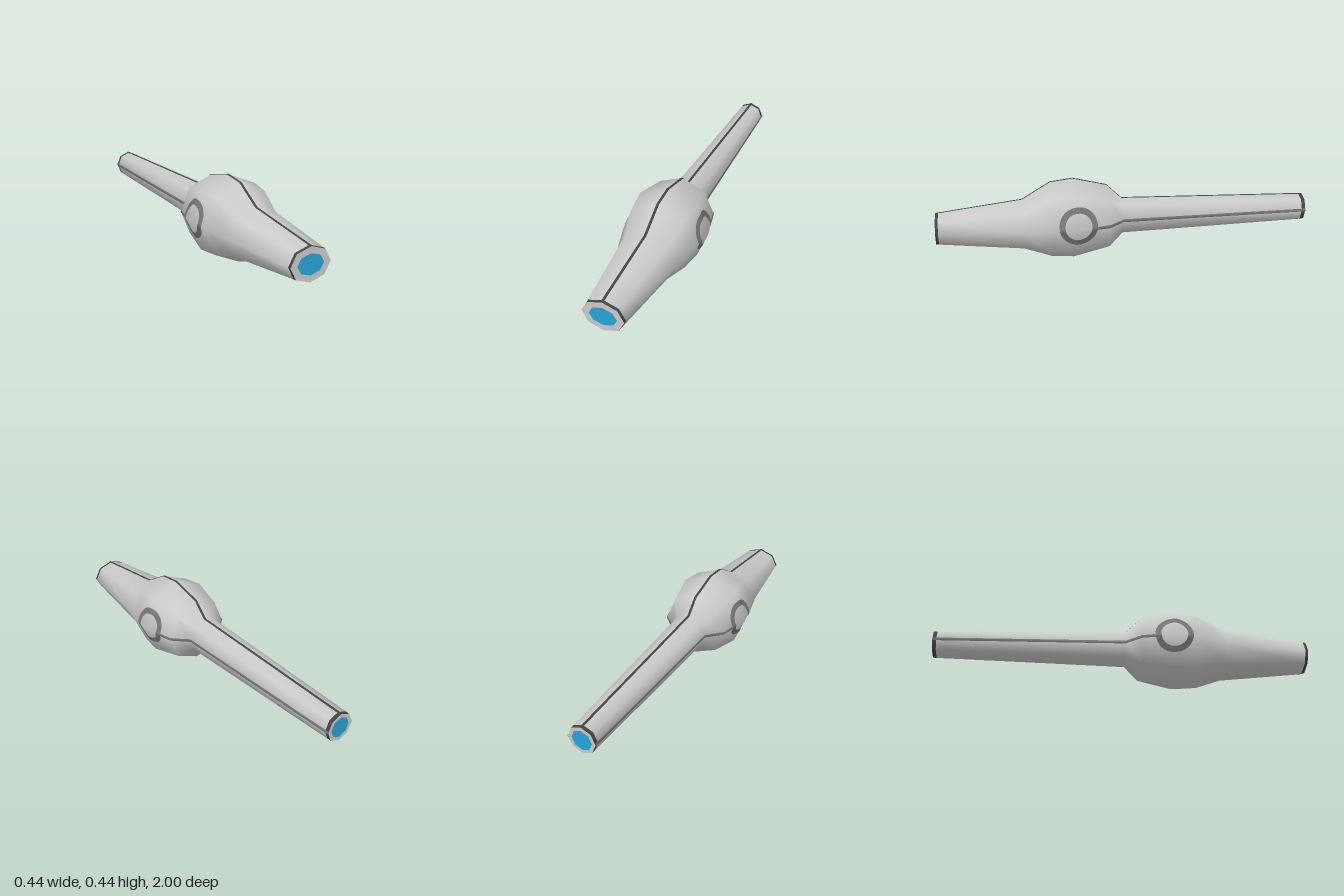
import * as THREE from 'three';

const mat = (name, color, side = THREE.FrontSide) => {
  const m = new THREE.MeshStandardMaterial({ color, side });
  m.name = name;
  return m;
};

// Cross-sections from front to back: z, centre height, half width, half height
const SECTIONS = [
  [1, 0.201, 0.108, 0.085],
  [0.55, 0.203, 0.16, 0.138],
  [0.4, 0.221, 0.2, 0.209],
  [0.28, 0.223, 0.221, 0.221],
  [0.1, 0.223, 0.178, 0.178],
  [0.02, 0.225, 0.1, 0.1],
  [-1, 0.225, 0.075, 0.075],
];
const SIDES = 8;

// Cross-section interpolated at any z
function sectionAt(z) {
  let i = 0;
  while (i < SECTIONS.length - 2 && z < SECTIONS[i + 1][0]) i++;
  const a = SECTIONS[i], b = SECTIONS[i + 1];
  const t = (z - a[0]) / (b[0] - a[0]);
  return a.map((v, k) => v + (b[k] - v) * t);
}

// Depths from z0 back to z1, including every section between
const depths = (z0, z1) => [z0, ...SECTIONS.map(s => s[0]).filter(z => z < z0 && z > z1), z1];

// Side surface distance from the centre plane
function sideX(y, z) {
  const [, cy, rx, ry] = sectionAt(z);
  return rx * (1 - (1 - Math.SQRT1_2) * Math.abs(y - cy) / (ry * Math.SQRT1_2));
}

// Grid of rows of points joined into one smooth surface
function gridGeometry(rows, closed) {
  const n = rows[0].length, index = [];
  for (let i = 0; i < rows.length - 1; i++) {
    for (let j = 0; j < (closed ? n : n - 1); j++) {
      const k = (j + 1) % n, f = i * n, b = f + n;
      index.push(f + j, b + j, f + k, b + j, b + k, f + k);
    }
  }
  const g = new THREE.BufferGeometry();
  g.setAttribute('position', new THREE.Float32BufferAttribute(rows.flat(2), 3));
  g.setIndex(index);
  g.computeVertexNormals();
  return g;
}

function hull(z0, z1) {
  const rows = depths(z0, z1).map(z => {
    const [, cy, rx, ry] = sectionAt(z);
    return Array.from({ length: SIDES }, (_, j) => {
      const a = j / SIDES * Math.PI * 2;
      return [rx * Math.cos(a), cy + ry * Math.sin(a), z];
    });
  });
  return gridGeometry(rows, true);
}

const octagon = (cy, rx, ry) => Array.from({ length: SIDES }, (_, j) => {
  const a = j / SIDES * Math.PI * 2;
  return new THREE.Vector2(rx * Math.cos(a), cy + ry * Math.sin(a));
});

export function createModel() {
  const group = new THREE.Group();
  const shell = mat('light grey shell', 0xcacaca);
  const dark = mat('dark grey trim', 0x444444, THREE.DoubleSide);
  const mid = mat('mid grey trim', 0x777777, THREE.DoubleSide);
  const blue = mat('blue glow', 0x27a3d6);
  const add = (name, geometry, material) => {
    const mesh = new THREE.Mesh(geometry, material);
    mesh.name = name;
    group.add(mesh);
  };

  // Bulging body and its dark end bands
  add('body', hull(0.985, -0.98), shell);
  add('frontBand', hull(1, 0.985), dark);
  add('rearBand', hull(-0.98, -1), dark);

  // End rims with blue centres
  for (const [name, z, rx, ry] of [['front', 1, 0.072, 0.052], ['rear', -1, 0.055, 0.055]]) {
    const [, cy, ox, oy] = sectionAt(z);
    const rim = new THREE.Shape(octagon(cy, ox, oy));
    rim.holes.push(new THREE.Path(octagon(cy, rx, ry)));
    const place = g => (z < 0 ? g.rotateY(Math.PI) : g).translate(0, 0, z);
    add(name + 'Rim', place(new THREE.ShapeGeometry(rim)), shell);
    add(name + 'Glow', place(new THREE.ShapeGeometry(new THREE.Shape(octagon(cy, rx, ry)))), blue);
  }

  // Seam along the top ridge
  const w = 0.007, lift = 0.002;
  add('topSeam', gridGeometry(depths(1, -1).map(z => {
    const [, cy, rx, ry] = sectionAt(z);
    const top = cy + ry + lift;
    const drop = w * 0.414 * ry / rx;
    return [[w, top - drop, z], [0, top, z], [-w, top - drop, z]];
  }), false), dark);

  // Side seams and rings, mirrored
  for (const [side, s] of [['left', 1], ['right', -1]]) {
    const point = (y, z) => [s * (sideX(y, z) + lift), y, z];
    add(side + 'Seam', gridGeometry(depths(0.17, -1).map(z => {
      const cy = sectionAt(z)[1];
      return [-1, 0, 1].map(k => point(cy + s * k * 0.008, z));
    }), false), mid);

    const rows = [];
    for (let i = 0; i <= 64; i++) {
      const a = i / 64 * Math.PI * 2;
      rows.push([0.07, 0.085, 0.1].map(r =>
        point(0.235 + r * Math.sin(a), 0.27 + s * r * Math.cos(a))));
    }
    add(side + 'Ring', gridGeometry(rows, false), mid);
  }
  return group;
}
